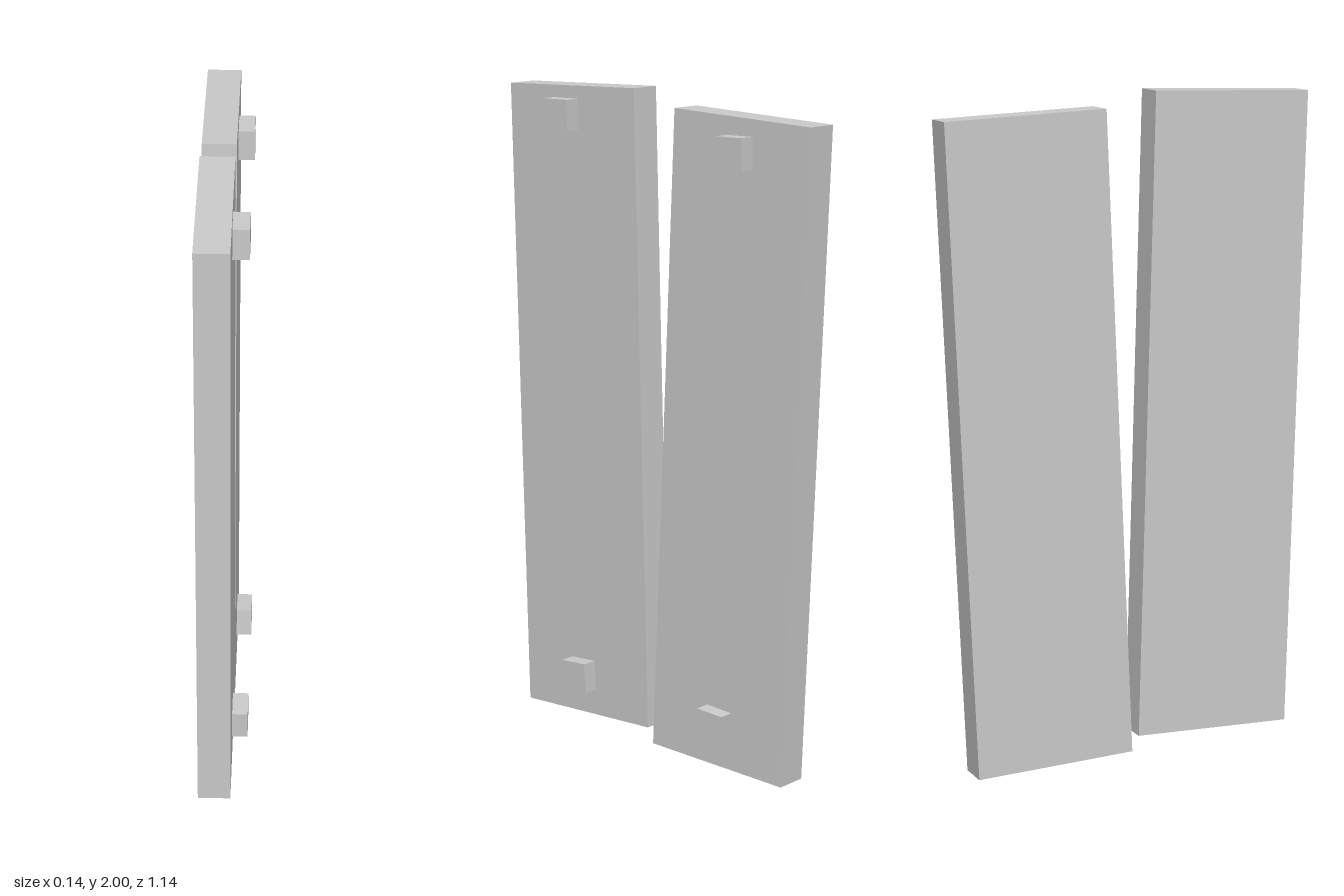
import * as THREE from 'three';

const material = new THREE.MeshStandardMaterial({ color: 0xcccccc, flatShading: true });

function addBox(parent, name, size, position, tilt) {
  const mesh = new THREE.Mesh(new THREE.BoxGeometry(...size), material);
  mesh.name = name;
  mesh.position.set(...position);
  mesh.rotation.x = tilt;
  parent.add(mesh);
}

// Board centre and pegs are given as [y, z, tilt]
const boards = [
  { name: 'front', board: [1.029, 0.298, 0.027], pegs: { top: [1.91, 0.345, 0.008], bottom: [0.187, 0.287, 0.05] } },
  { name: 'back', board: [0.979, -0.284, -0.0427], pegs: { top: [1.846, -0.319, 0.012], bottom: [0.146, -0.253, -0.07] } },
];

export function createModel() {
  const model = new THREE.Group();
  model.name = 'leaningBoards';
  for (const { name, board, pegs } of boards) {
    const group = new THREE.Group();
    group.name = name + 'Board';
    model.add(group);

    // Thick plank, leaning slightly outward at the top
    const [y, z, tilt] = board;
    addBox(group, name + 'Plank', [0.098, 1.932, 0.494], [-0.024, y, z], tilt);

    // Small square pegs on the +x face
    for (const [end, [py, pz, pegTilt]] of Object.entries(pegs)) {
      addBox(group, `${name}${end === 'top' ? 'Top' : 'Bottom'}Peg`, [0.048, 0.093, 0.093], [0.048, py, pz], pegTilt);
    }
  }
  return model;
}
